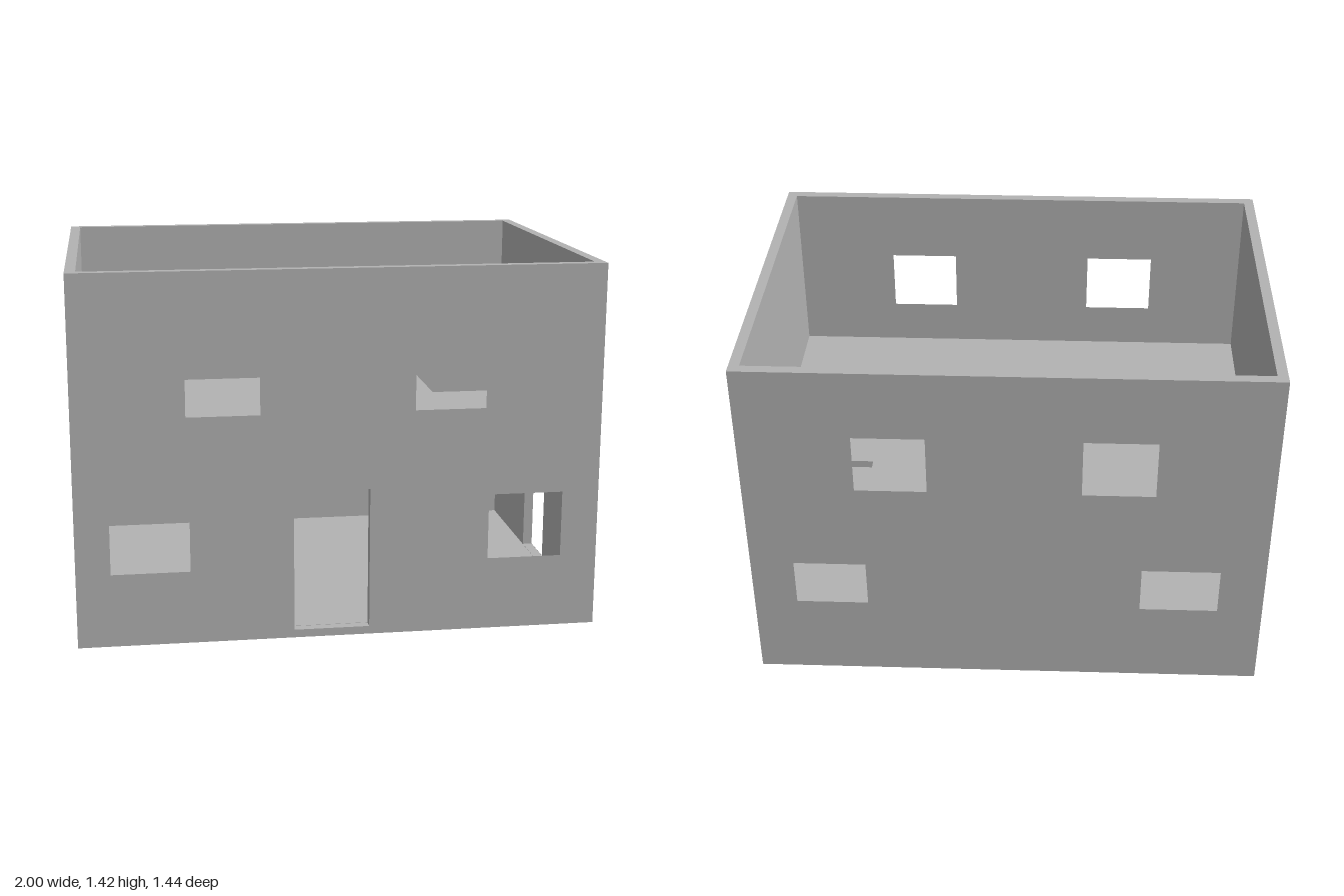
import * as THREE from 'three';

const W = 1, D = 0.72, T = 0.04, H = 1.42, BASE = 0.03;
const IX = W - T, IZ = D - T;

export function createModel() {
  const model = new THREE.Group();
  const grey = new THREE.MeshStandardMaterial({ color: 0xb2b2b2, side: THREE.DoubleSide });
  grey.name = 'plain grey';

  const add = (name, geometry, parent = model) => {
    const mesh = new THREE.Mesh(geometry, grey);
    mesh.name = name;
    parent.add(mesh);
    return mesh;
  };

  const rect = (Kind, [x0, x1, y0, y1]) => new Kind([
    [x0, y0], [x1, y0], [x1, y1], [x0, y1],
  ].map(([x, y]) => new THREE.Vector2(x, y)));

  const sheet = (outline, holes) => {
    const shape = rect(THREE.Shape, outline);
    holes.forEach((h) => shape.holes.push(rect(THREE.Path, h)));
    return new THREE.ShapeGeometry(shape);
  };

  // A hollow wall: outer and inner skins with the same openings; a door also gets a lined frame
  const wall = (name, half, outerAt, holes, turn, door) => {
    const group = new THREE.Group();
    group.name = name;
    group.rotation.y = turn;
    for (const [skin, at] of [['OuterSkin', outerAt], ['InnerSkin', outerAt - T]]) {
      const all = door ? [...holes, door] : holes;
      add(name + skin, sheet([-half, half, BASE, H], all), group).position.z = at;
    }
    if (door) {
      const [x0, x1, y0, y1] = door;
      for (const x of [x0, x1]) {
        const jamb = add('doorJamb', new THREE.PlaneGeometry(T, y1 - y0), group);
        jamb.rotation.y = x === x0 ? Math.PI / 2 : -Math.PI / 2;
        jamb.position.set(x, (y0 + y1) / 2, outerAt - T / 2);
      }
      const head = add('doorHead', new THREE.PlaneGeometry(x1 - x0, T), group);
      head.rotation.x = Math.PI / 2;
      head.position.set((x0 + x1) / 2, y1, outerAt - T / 2);
    }
    model.add(group);
  };

  // Openings are given as [left, right, bottom, top], seen from outside each wall
  const DOOR_Y = [BASE + 0.001, 0.58];
  wall('frontWall', W, D, [
    [-0.58, -0.3, 0.87, 1.14], [0.28, 0.56, 0.87, 1.14],
    [-0.87, -0.57, 0.27, 0.54], [0.57, 0.87, 0.27, 0.54],
  ], 0, [-0.18, 0.11, ...DOOR_Y]);
  wall('backWall', W, D, [
    [-0.58, -0.3, 0.87, 1.14], [0.28, 0.56, 0.87, 1.14],
    [-0.84, -0.55, 0.31, 0.54], [0.52, 0.83, 0.31, 0.54],
  ], Math.PI);
  wall('rightWall', IZ, W, [], Math.PI / 2, [-0.135, 0.165, ...DOOR_Y]);
  wall('leftWall', IZ, W, [[-0.2, 0.14, 0.31, 0.58]], -Math.PI / 2);

  // Cap along the wall tops
  const cap = add('wallTop', sheet([-W, W, -D, D], [[-IX, IX, -IZ, IZ]]));
  cap.rotation.x = -Math.PI / 2;
  cap.position.y = H;

  // Ground slab
  add('groundSlab', new THREE.BoxGeometry(2 * W, BASE, 2 * D)).position.y = BASE / 2;

  // Upper floor, with the back right corner left open for stairs
  const FZ = IZ + 0.003;
  const plan = new THREE.Shape([
    [-IX, -FZ], [IX, -FZ], [IX, 0.28], [0.56, 0.28], [0.56, FZ], [-IX, FZ],
  ].map(([x, y]) => new THREE.Vector2(x, y)));
  const floor = add('upperFloor', new THREE.ExtrudeGeometry(plan, { depth: 0.03, bevelEnabled: false }));
  floor.rotation.x = -Math.PI / 2;
  floor.position.y = 0.685;

  return model;
}
